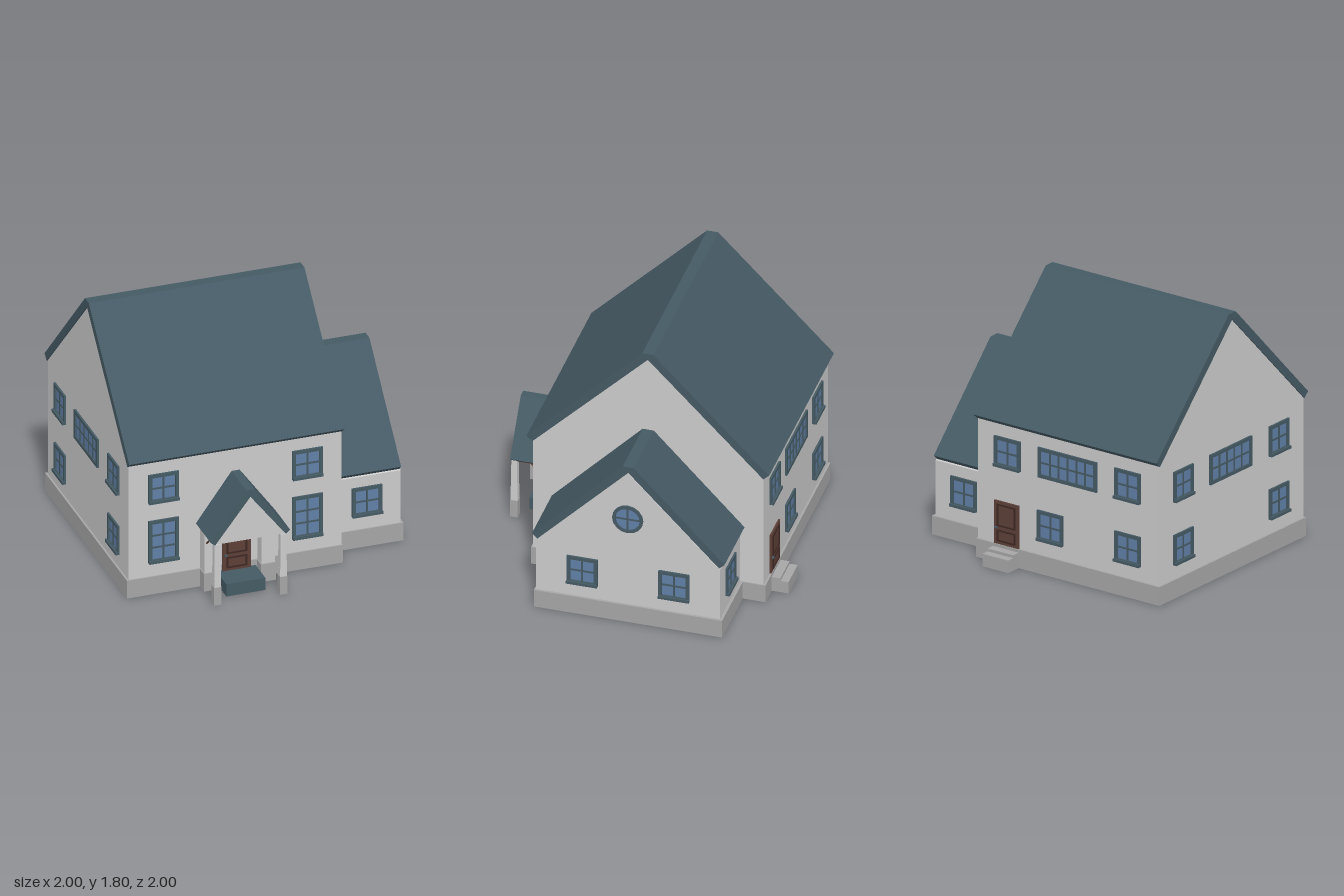
import * as THREE from 'three';

const mat = (color, extra = {}) => new THREE.MeshStandardMaterial({ color, flatShading: true, ...extra });
const WALL = mat(0xcccccc);
const STONE = mat(0xa6a6a6);
const ROOF = mat(0x455a64);
const GLASS = mat(0x6180a8);
const WOOD = mat(0x5d4037);
const FLOOR = mat(0x3e2723);

const RIDGE_Z = -0.085;
const PORCH_X = -0.23;

function add(parent, name, geometry, material) {
  const mesh = new THREE.Mesh(geometry, material);
  mesh.name = name;
  parent.add(mesh);
  return mesh;
}

// Box given by its minimum and maximum on each axis
function box(parent, name, material, [x0, x1], [y0, y1], [z0, z1]) {
  const g = new THREE.BoxGeometry(x1 - x0, y1 - y0, z1 - z0);
  g.translate((x0 + x1) / 2, (y0 + y1) / 2, (z0 + z1) / 2);
  return add(parent, name, g, material);
}

const shapeOf = (pts) => new THREE.Shape(pts.map(([x, y]) => new THREE.Vector2(x, y)));
const extrude = (shape, depth, curveSegments = 12) =>
  new THREE.ExtrudeGeometry(shape, { depth, bevelEnabled: false, curveSegments });

// Profile of [z, y] points swept along x
function sweepX(pts, x0, x1) {
  return extrude(shapeOf(pts.map(([z, y]) => [-z, y])), x1 - x0).rotateY(Math.PI / 2).translate(x0, 0, 0);
}

// Symmetric gable: roof band with a flat ridge, and the wall outline below it
function roofProfile(c, { outer, eave, inner, low, ridge, top, apex }) {
  return [
    [c + outer, eave], [c + ridge, top], [c - ridge, top], [c - outer, eave],
    [c - inner, low], [c, apex], [c + inner, low],
  ];
}
const gableProfile = (c, half, bottom, low, apex) =>
  [[c + half, bottom], [c + half, low], [c, apex], [c - half, low], [c - half, bottom]];

// Plan outline of house and wing, inset by t
const plan = (t) => [
  [-0.985 + t, 0.71 - t], [0.51 - t, 0.71 - t], [0.51 - t, 0.55 - t], [0.985 - t, 0.55 - t],
  [0.985 - t, -0.73 + t], [0.51 - t, -0.73 + t], [0.51 - t, -0.885 + t], [-0.985 + t, -0.885 + t],
].map(([x, z]) => [x, -z]);

// Rectangular window facing +z, centred on its own origin
function makeWindow(w, h, cols, rows, sill = true) {
  const win = new THREE.Group();
  win.name = 'window';
  const f = 0.024, m = 0.012, x = w / 2, y = h / 2;
  const frame = shapeOf([[-x, -y], [x, -y], [x, y], [-x, y]]);
  frame.holes.push(shapeOf([[-x + f, -y + f], [-x + f, y - f], [x - f, y - f], [x - f, -y + f]]));
  add(win, 'windowFrame', extrude(frame, 0.014), ROOF);
  box(win, 'glass', GLASS, [-x + f, x - f], [-y + f, y - f], [0, 0.003]);
  for (let i = 1; i < cols; i++) {
    const cx = -x + f + (i * (w - 2 * f)) / cols;
    box(win, 'glazingBar', ROOF, [cx - m / 2, cx + m / 2], [-y + f, y - f], [0, 0.009]);
  }
  for (let j = 1; j < rows; j++) {
    const cy = -y + f + (j * (h - 2 * f)) / rows;
    box(win, 'glazingBar', ROOF, [-x + f, x - f], [cy - m / 2, cy + m / 2], [0, 0.009]);
  }
  if (sill) box(win, 'sill', ROOF, [-x, x], [-y, -y + 0.02], [0, 0.028]);
  return win;
}

function makeRoundWindow(r) {
  const win = new THREE.Group();
  win.name = 'roundWindow';
  const ring = new THREE.Shape().absarc(0, 0, r, 0, Math.PI * 2);
  ring.holes.push(new THREE.Path().absarc(0, 0, r - 0.022, 0, Math.PI * 2, true));
  add(win, 'roundFrame', extrude(ring, 0.012, 8), ROOF);
  add(win, 'glass', new THREE.CircleGeometry(r - 0.015, 16).translate(0, 0, 0.003), GLASS);
  box(win, 'glazingBar', ROOF, [-0.006, 0.006], [-r + 0.015, r - 0.015], [0, 0.008]);
  box(win, 'glazingBar', ROOF, [-r + 0.015, r - 0.015], [-0.006, 0.006], [0, 0.008]);
  return win;
}

// Panelled door facing +z, standing on its own origin
function makeDoor(w, h) {
  const door = new THREE.Group();
  door.name = 'door';
  const x = w / 2, p = x - 0.026;
  box(door, 'doorLeaf', WOOD, [-x, x], [0, h], [0, 0.012]);
  for (const [a, b] of [[0.02, 0.1], [0.125, h - 0.02]]) {
    const rim = shapeOf([[-p, a], [p, a], [p, b], [-p, b]]);
    const e = 0.01;
    rim.holes.push(shapeOf([[-p + e, a + e], [-p + e, b - e], [p - e, b - e], [p - e, a + e]]));
    add(door, 'panelMoulding', extrude(rim, 0.018), FLOOR);
  }
  box(door, 'doorHandle', ROOF, [-x + 0.01, -x + 0.03], [0.11, 0.12], [0, 0.025]);
  return door;
}

export function createModel() {
  const house = new THREE.Group();
  house.name = 'house';

  // Hollow stone plinth with a floor inside
  const plinth = shapeOf(plan(0));
  plinth.holes.push(shapeOf(plan(0.03)));
  add(house, 'plinth', extrude(plinth, 0.13).rotateX(-Math.PI / 2), STONE);
  add(house, 'floor', extrude(shapeOf(plan(0.02)), 0.025).rotateX(-Math.PI / 2).translate(0, 0.1, 0), FLOOR);

  // Main block and side wing
  add(house, 'mainWalls', sweepX(gableProfile(RIDGE_Z, 0.785, 0.125, 0.966, 1.756), -0.972, 0.502), WALL);
  add(house, 'mainRoof', sweepX(roofProfile(RIDGE_Z,
    { outer: 0.825, eave: 1.0, inner: 0.785, low: 0.965, ridge: 0.038, top: 1.8, apex: 1.755 }), -0.98, 0.512), ROOF);
  add(house, 'wingWalls', sweepX(gableProfile(RIDGE_Z, 0.625, 0.125, 0.515, 1.157), 0.49, 0.969), WALL);
  add(house, 'wingRoof', sweepX(roofProfile(RIDGE_Z,
    { outer: 0.655, eave: 0.557, inner: 0.615, low: 0.52, ridge: 0.038, top: 1.2, apex: 1.155 }), 0.49, 0.962), ROOF);

  // Places a wall fitting: side angle turns it away from +z
  const place = (obj, x, y, z, angle = 0) => {
    obj.position.set(x, y, z);
    obj.rotation.y = angle;
    house.add(obj);
  };
  const S = 0.21, UP = 0.775, LOW = 0.335;
  const FRONT = 0.7, BACK = -0.87, LEFT = 0.969, RIGHT = -0.972;

  // Front windows
  for (const x of [-0.73, 0.265]) {
    place(makeWindow(S, S, 2, 2), x, UP, FRONT);
    place(makeWindow(S, 0.31, 2, 3), x, 0.385, FRONT);
  }
  place(makeWindow(S, S, 2, 2), 0.735, LOW, 0.54);

  // Back windows
  for (const [x, y] of [[0.26, UP], [-0.72, UP], [-0.09, LOW], [-0.72, LOW]]) {
    place(makeWindow(S, S, 2, 2), x, y, BACK, Math.PI);
  }
  place(makeWindow(0.48, S, 6, 2, false), -0.23, UP, BACK, Math.PI);
  place(makeWindow(S, S, 2, 2), 0.735, LOW, -0.71, Math.PI);

  // Windows on the two gable ends
  for (const z of [0.425, -0.615]) {
    for (const y of [UP, LOW]) place(makeWindow(S, S, 2, 2), RIGHT, y, z, -Math.PI / 2);
  }
  place(makeWindow(0.45, S, 5, 2, false), RIGHT, UP, -0.1, -Math.PI / 2);
  for (const z of [0.225, -0.4]) place(makeWindow(S, S, 2, 2), LEFT, LOW, z, Math.PI / 2);
  place(makeRoundWindow(0.105), LEFT, 0.8, RIDGE_Z, Math.PI / 2);

  // Doors and steps
  place(makeDoor(0.195, 0.31), PORCH_X, 0.09, 0.712);
  place(makeDoor(0.2, 0.3), 0.265, 0.13, BACK, Math.PI);
  box(house, 'frontStep', ROOF, [-0.365, -0.095], [0, 0.09], [0.7, 0.9]);
  box(house, 'backStepLower', STONE, [0.16, 0.37], [0, 0.088], [-1, -0.88]);
  box(house, 'backStepUpper', STONE, [0.16, 0.37], [0, 0.108], [-0.945, -0.88]);

  // Porch roof and gable
  const porch = new THREE.Group();
  porch.name = 'porch';
  porch.position.x = PORCH_X;
  house.add(porch);
  add(porch, 'porchRoof', extrude(shapeOf(roofProfile(0,
    { outer: 0.275, eave: 0.465, inner: 0.245, low: 0.44, ridge: 0.028, top: 0.808, apex: 0.757 })), 0.29)
    .translate(0, 0, 0.7), ROOF);
  add(porch, 'porchGable', extrude(shapeOf([[-0.245, 0.44], [0.245, 0.44], [0, 0.758]]), 0.285)
    .translate(0, 0, 0.695), WALL);
  box(porch, 'porchCeiling', WOOD, [-0.24, 0.24], [0.432, 0.441], [0.7, 0.96]);

  // Pilasters, posts and braces on both sides of the porch
  for (const s of [-1, 1]) {
    const span = (a, b) => (s > 0 ? [a, b] : [-b, -a]);
    box(porch, 'pilaster', WALL, span(0.15, 0.245), [0.125, 0.435], [0.69, 0.78]);
    box(porch, 'pilasterBase', STONE, span(0.145, 0.25), [0, 0.13], [0.69, 0.788]);
    box(porch, 'postFoot', STONE, span(0.203, 0.253), [0, 0.13], [0.945, 0.995]);
    const post = new THREE.CylinderGeometry(0.027, 0.034, 0.31, 4).rotateY(Math.PI / 4);
    add(porch, 'post', post, WALL).position.set(s * 0.228, 0.285, 0.97);
    box(porch, 'postCollar', WALL, span(0.204, 0.252), [0.175, 0.188], [0.946, 0.994]);
    const curve = new THREE.QuadraticBezierCurve3(
      new THREE.Vector3(s * 0.228, 0.35, 0.778), new THREE.Vector3(s * 0.228, 0.39, 0.83),
      new THREE.Vector3(s * 0.228, 0.436, 0.865));
    add(porch, 'brace', new THREE.TubeGeometry(curve, 6, 0.007, 4), WOOD);
  }
  return house;
}
